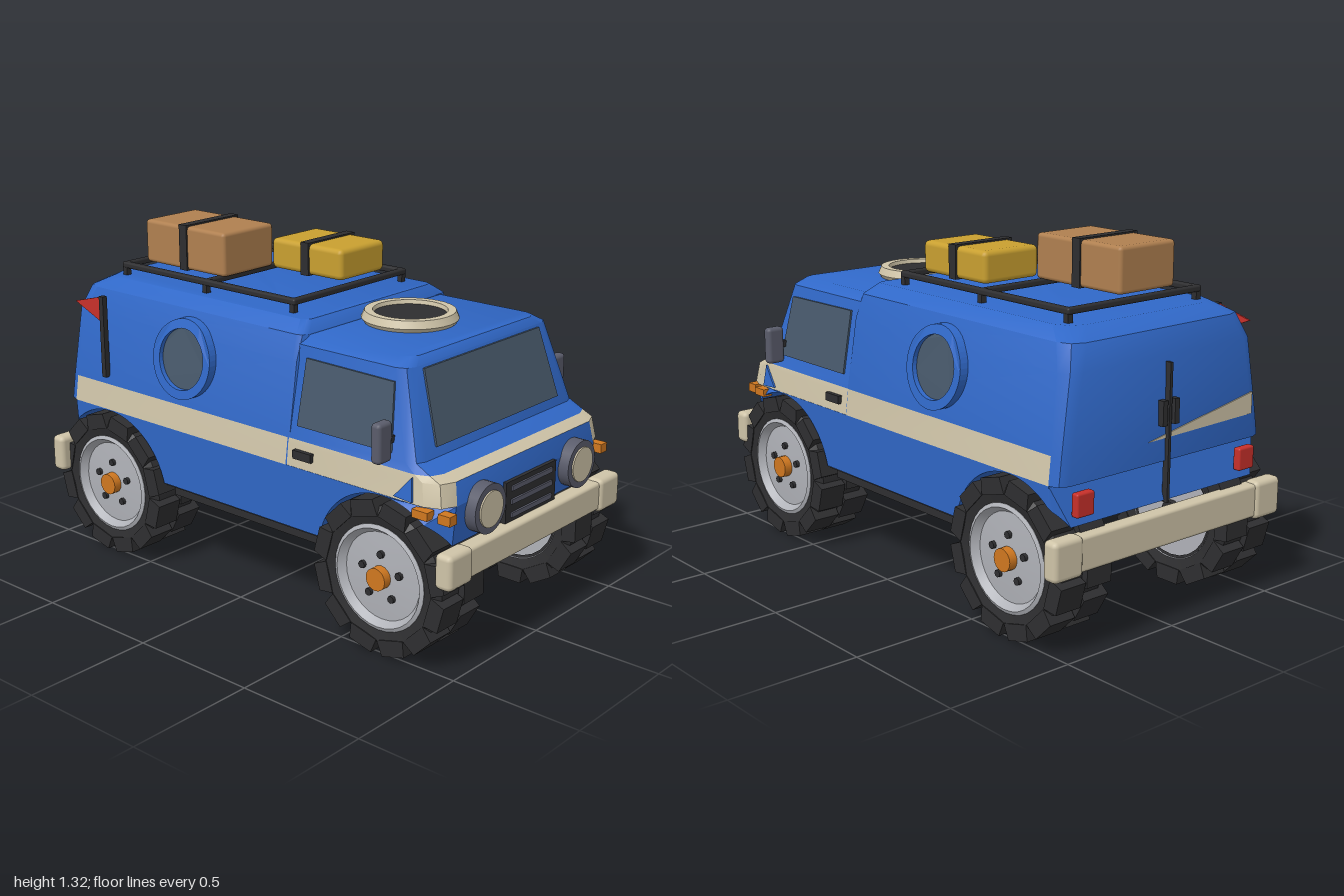
import * as THREE from 'three';
import { toCreasedNormals } from 'three/addons/utils/BufferGeometryUtils.js';
import { RoundedBoxGeometry } from 'three/addons/geometries/RoundedBoxGeometry.js';

const mat = (name, color) => Object.assign(new THREE.MeshStandardMaterial({ color }), { name });
const blue = mat('blue paint', 0x3068c8), beige = mat('beige trim', 0xcfc4a8), glass = mat('glass', 0x47586a);
const black = mat('black rubber', 0x2e2e30), slate = mat('slate metal', 0x5a5c6b), silver = mat('silver', 0xb0b2b8);
const orange = mat('orange', 0xd07820), red = mat('red', 0xc8302a), tan = mat('tan', 0xb08050), yellow = mat('yellow', 0xc9a030);

export function createModel() {
  const model = new THREE.Group();
  model.name = 'expeditionVan';
  const add = (name, geo, material, parent = model) => {
    const m = new THREE.Mesh(geo, material);
    m.name = name;
    parent.add(m);
    return m;
  };
  // Box given by its limits; r rounds the edges
  const box = (name, material, [x0, x1], [y0, y1], [z0, z1], r = 0, parent = model) => {
    const d = [x1 - x0, y1 - y0, z1 - z0];
    const m = add(name, r ? new RoundedBoxGeometry(...d, 2, r) : new THREE.BoxGeometry(...d), material, parent);
    m.position.set((x0 + x1) / 2, (y0 + y1) / 2, (z0 + z1) / 2);
    return m;
  };
  const span = (c, w) => [c - w / 2, c + w / 2];
  const moveVertices = (geo, rule) => {
    const p = geo.attributes.position, v = new THREE.Vector3();
    for (let i = 0; i < p.count; i++) {
      rule(v.fromBufferAttribute(p, i));
      p.setXYZ(i, v.x, v.y, v.z);
    }
    geo.computeVertexNormals();
    return geo;
  };
  const lerp = THREE.MathUtils.lerp;

  // Plan outline with rounded corners, starting at the front +z corner
  const ring = ([y, x0, x1, hw, c0, c1]) => {
    const pts = [];
    const corners = [[x1, 1, c1, 0], [x1, -1, c1, 1], [x0, -1, c0, 2], [x0, 1, c0, 3]];
    for (const [x, s, c, q] of corners) {
      for (let k = 0; k < 3; k++) {
        const a = Math.PI / 2 * (1 - q - k / 2);
        pts.push([x + (q < 2 ? -c : c) + c * Math.cos(a), y, s * (hw - c) + c * Math.sin(a)]);
      }
    }
    return pts;
  };
  // Shell lofted upwards through the levels; isTrim picks the beige faces
  const loft = (levels, isTrim) => {
    const rings = levels.map(ring), faces = [[], []];
    for (let l = 0; l < rings.length - 1; l++) {
      for (let i = 0; i < 12; i++) {
        const j = (i + 1) % 12, [a, b, c, d] = [rings[l][i], rings[l][j], rings[l + 1][j], rings[l + 1][i]];
        faces[isTrim(l, i) ? 1 : 0].push(...a, ...b, ...c, ...a, ...c, ...d);
      }
    }
    const top = rings.at(-1);
    for (let i = 1; i < 11; i++) faces[0].push(...top[0], ...top[i], ...top[i + 1]);
    const geo = new THREE.BufferGeometry();
    geo.setAttribute('position', new THREE.Float32BufferAttribute([...faces[0], ...faces[1]], 3));
    geo.addGroup(0, faces[0].length / 3, 0);
    geo.addGroup(faces[0].length / 3, faces[1].length / 3, 1);
    return toCreasedNormals(geo, 0.6);
  };
  // Levels: y, rear x, front x, half width, rear corner, front corner
  const rearLevels = [[0.6, -0.95, 0.25, 0.505, 0.05, 0.01], [0.7, -0.947, 0.25, 0.492, 0.05, 0.01],
    [0.97, -0.94, 0.25, 0.452, 0.06, 0.02], [1.06, -0.91, 0.25, 0.42, 0.07, 0.03], [1.1, -0.84, 0.22, 0.365, 0.08, 0.03]];
  const cabLevels = [[0.6, 0.2, 0.94, 0.503, 0.01, 0.08], [0.68, 0.2, 0.925, 0.493, 0.01, 0.08], [0.7, 0.2, 0.88, 0.49, 0.01, 0.07],
    [0.73, 0.2, 0.815, 0.483, 0.01, 0.05], [1.03, 0.2, 0.722, 0.425, 0.01, 0.05], [1.057, 0.2, 0.7, 0.38, 0.01, 0.05]];
  add('rearBody', loft(rearLevels, (l, i) => l === 0 && (i === 5 || i === 11)), [blue, beige]);
  add('cab', loft(cabLevels, (l, i) => l === 1 || (l === 0 && i !== 2 && i !== 8)), [blue, beige]);

  // Lower body with wheel arches cut through
  const R = 0.295, low = Math.asin(0.06 / R), end = Math.acos(0.25 / R);
  const side = new THREE.Shape();
  side.moveTo(-0.95, 0.6);
  side.absarc(-0.7, 0.3, R, Math.PI - end, low, true);
  side.absarc(0.68, 0.3, R, Math.PI - low, end, true);
  for (const x of [0.94, 0.86, -0.9]) side.lineTo(x, 0.6);
  const lower = new THREE.ExtrudeGeometry(side, { depth: 2, bevelEnabled: false, curveSegments: 20 }).translate(0, 0, -1);
  moveVertices(lower, v => {
    const taper = v.x > 0.86 ? lerp(1, 0.85, (v.x - 0.86) / 0.08) : v.x < -0.9 ? lerp(1, 0.9, (-0.9 - v.x) / 0.05) : 1;
    v.z *= taper * lerp(0.493, 0.504, (v.y - 0.36) / 0.24);
  });
  lower.clearGroups();
  add('lowerBody', toCreasedNormals(lower, 0.5), blue);
  box('floor', black, [-0.375, 0.36], [0.315, 0.365], [-0.47, 0.47]);
  box('floorPan', black, [-0.405, 0.385], [0.352, 0.362], [-0.485, 0.485]);

  // Plates that follow the sloping sides
  const sideZ = (levels, y) => {
    let i = 0;
    while (i < levels.length - 2 && levels[i + 1][0] < y) i++;
    const a = levels[i], b = levels[i + 1];
    return lerp(a[3], b[3], (y - a[0]) / (b[0] - a[0]));
  };
  const polygon = pts => new THREE.Shape(pts.map(p => new THREE.Vector2(...p)));
  const plate = (shape, depth) => new THREE.ExtrudeGeometry(shape, { depth, bevelEnabled: false, curveSegments: 24 }).translate(0, 0, -depth / 2);
  const sidePlate = (name, shape, material, levels, s, depth = 0.009, out = 0.003) =>
    add(name, moveVertices(plate(shape, depth), v => { v.z += s * (sideZ(levels, v.y) + out); }), material);
  const circle = r => new THREE.Shape().absarc(-0.29, 0.885, r, 0, Math.PI * 2);
  const porthole = circle(0.15);
  porthole.holes.push(circle(0.115));

  // Windscreen and rear panel mark
  const facing = (name, pts, material, xAt) =>
    add(name, moveVertices(plate(polygon(pts), 0.009).rotateY(Math.PI / 2), v => { v.x += xAt(v.y); }), material);
  facing('windscreen', [[-0.37, 0.765], [0.37, 0.765], [0.345, 1.02], [-0.345, 1.02]], glass, y => 0.818 - (y - 0.73) * 0.31);
  facing('rearMark', [[0.09, 0.68], [-0.44, 0.69], [-0.44, 0.77]], beige, () => -0.946);

  // Wheel: tyre, staggered lugs, rim, hub; local +z faces outwards
  const lathe = (pts, n) => toCreasedNormals(new THREE.LatheGeometry(pts.map(p => new THREE.Vector2(...p)), n).rotateX(Math.PI / 2), 0.5);
  const disc = (r, h, n = 16) => new THREE.CylinderGeometry(r, r, h, n).rotateX(Math.PI / 2);
  const tyreGeo = lathe([[0.18, -0.1], [0.235, -0.114], [0.262, -0.09], [0.262, 0.09], [0.235, 0.114], [0.18, 0.1]], 24);
  const rimGeo = lathe([[0, -0.095], [0.185, -0.095], [0.192, -0.106], [0.197, 0.106], [0.183, 0.113], [0.163, 0.085], [0.06, 0.092], [0, 0.092]], 32);
  const lugGeo = moveVertices(new THREE.BoxGeometry(0.06, 0.118, 0.112), v => { if (v.x > 0) v.y *= 0.85; });
  const wheel = (name, x, s) => {
    const g = new THREE.Group();
    g.name = name;
    g.position.set(x, 0.292, s * 0.407);
    if (s < 0) g.rotation.y = Math.PI;
    add('tyre', tyreGeo, black, g);
    add('rim', rimGeo, silver, g);
    add('hub', disc(0.042, 0.04), orange, g).position.z = 0.105;
    add('axleEnd', disc(0.032, 0.04), black, g).position.z = -0.1;
    for (let i = 0; i < 24; i++) {
      const a = i * Math.PI / 12, lug = add('treadLug', lugGeo, black, g);
      lug.position.set(Math.cos(a) * 0.255, Math.sin(a) * 0.255, i % 2 ? 0.06 : -0.06);
      lug.rotation.z = a;
    }
    for (let i = 0; i < 5; i++) {
      const a = Math.PI / 2 + i * Math.PI * 0.4;
      add('wheelNut', disc(0.014, 0.02, 8), black, g).position.set(Math.cos(a) * 0.085, Math.sin(a) * 0.085, 0.093);
    }
    model.add(g);
  };

  // Parts on both sides
  for (const s of [1, -1]) {
    const zs = (a, b) => (s > 0 ? [a, b] : [-b, -a]);
    wheel('rearWheel', -0.7, s);
    wheel('frontWheel', 0.68, s);
    sidePlate('cabWindow', polygon([[0.28, 0.75], [0.705, 0.75], [0.68, 0.985], [0.285, 0.99]]), glass, cabLevels, s);
    sidePlate('portholeRing', porthole, blue, rearLevels, s, 0.05, 0.01);
    sidePlate('portholeGlass', circle(0.118), glass, rearLevels, s, 0.009, 0.012);
    sidePlate('stripeNotch', polygon([[0.735, 0.61], [0.815, 0.605], [0.805, 0.69]]), blue, cabLevels, s);
    box('doorHandle', black, [0.28, 0.365], [0.635, 0.667], zs(0.485, 0.512));
    box('sideMarker', orange, [0.815, 0.88], [0.555, 0.585], zs(0.47, 0.51));
    box('frontMarker', orange, [0.91, 0.96], [0.55, 0.585], zs(0.45, 0.49));
    box('mirror', slate, [0.675, 0.717], [0.725, 0.87], zs(0.49, 0.563), 0.015);
    box('mirrorArm', black, [0.685, 0.707], [0.785, 0.81], zs(0.44, 0.51));
    box('frontBumperEnd', beige, [0.93, 1], [0.335, 0.465], zs(0.4, 0.535), 0.02);
    box('rearBumperEnd', beige, [-1, -0.935], [0.295, 0.44], zs(0.43, 0.563), 0.02);
    box('tailLight', red, [-0.972, -0.94], [0.49, 0.575], zs(0.36, 0.44), 0.008);
    box('rearHandle', black, [-0.968, -0.94], [0.73, 0.82], zs(0.018, 0.04));
    add('headlightRing', disc(0.09, 0.05, 28).rotateY(Math.PI / 2), slate).position.set(0.955, 0.56, s * 0.285);
    add('headlightLens', disc(0.066, 0.04, 28).rotateY(Math.PI / 2), beige).position.set(0.966, 0.56, s * 0.285);
  }

  // Nose, bumpers and rear door seam
  box('frontBumper', beige, [0.925, 0.99], [0.345, 0.455], [-0.45, 0.45], 0.012);
  box('rearBumper', beige, [-0.99, -0.93], [0.305, 0.43], [-0.5, 0.5], 0.012);
  box('grille', black, [0.92, 0.953], [0.45, 0.607], [-0.155, 0.155]);
  for (const y of [0.48, 0.53, 0.58]) box('grilleSlat', slate, [0.945, 0.96], span(y, 0.018), [-0.125, 0.125]);
  box('rearDoorSeam', black, [-0.964, -0.94], [0.45, 0.95], [-0.006, 0.006]);

  // Roof hatch
  const hatch = new THREE.Group();
  hatch.name = 'roofHatch';
  hatch.position.set(0.4, 1.05, 0);
  add('hatchRing', toCreasedNormals(new THREE.LatheGeometry([[0.165, 0], [0.18, 0.022], [0.168, 0.05], [0.138, 0.05], [0.132, 0.025]]
    .map(p => new THREE.Vector2(...p)), 32), 0.5), beige, hatch);
  add('hatchCover', new THREE.CylinderGeometry(0.136, 0.136, 0.035, 32), black, hatch).position.y = 0.0175;
  model.add(hatch);

  // Roof rack
  for (const z of [-0.312, 0.312]) {
    box('rackRail', black, [-0.795, 0.125], [1.128, 1.152], span(z, 0.026), 0.008);
    for (const x of [-0.78, -0.335, 0.11]) box('rackLeg', black, span(x, 0.022), [1.075, 1.14], span(z, 0.022));
  }
  for (const x of [-0.782, -0.335, 0.112]) box('rackBar', black, span(x, 0.026), [1.128, 1.152], [-0.312, 0.312], 0.008);

  // Luggage with straps
  box('largeCase', tan, [-0.738, -0.305], [1.148, 1.318], [-0.03, 0.245], 0.015);
  box('largeCaseStrap', black, [-0.542, -0.502], [1.146, 1.324], [-0.036, 0.251]);
  box('smallCase', yellow, [-0.287, 0.07], [1.148, 1.268], [-0.258, 0.002], 0.02);
  box('smallCaseStrap', black, [-0.13, -0.09], [1.146, 1.274], [-0.264, 0.008]);

  // Pennant on the +z side
  box('flagPole', black, [-0.733, -0.711], [0.73, 1.055], [0.484, 0.506]);
  add('flag', plate(polygon([[-0.73, 0.95], [-0.73, 1.052], [-0.88, 1.012]]), 0.008), red).position.z = 0.495;

  return model;
}
